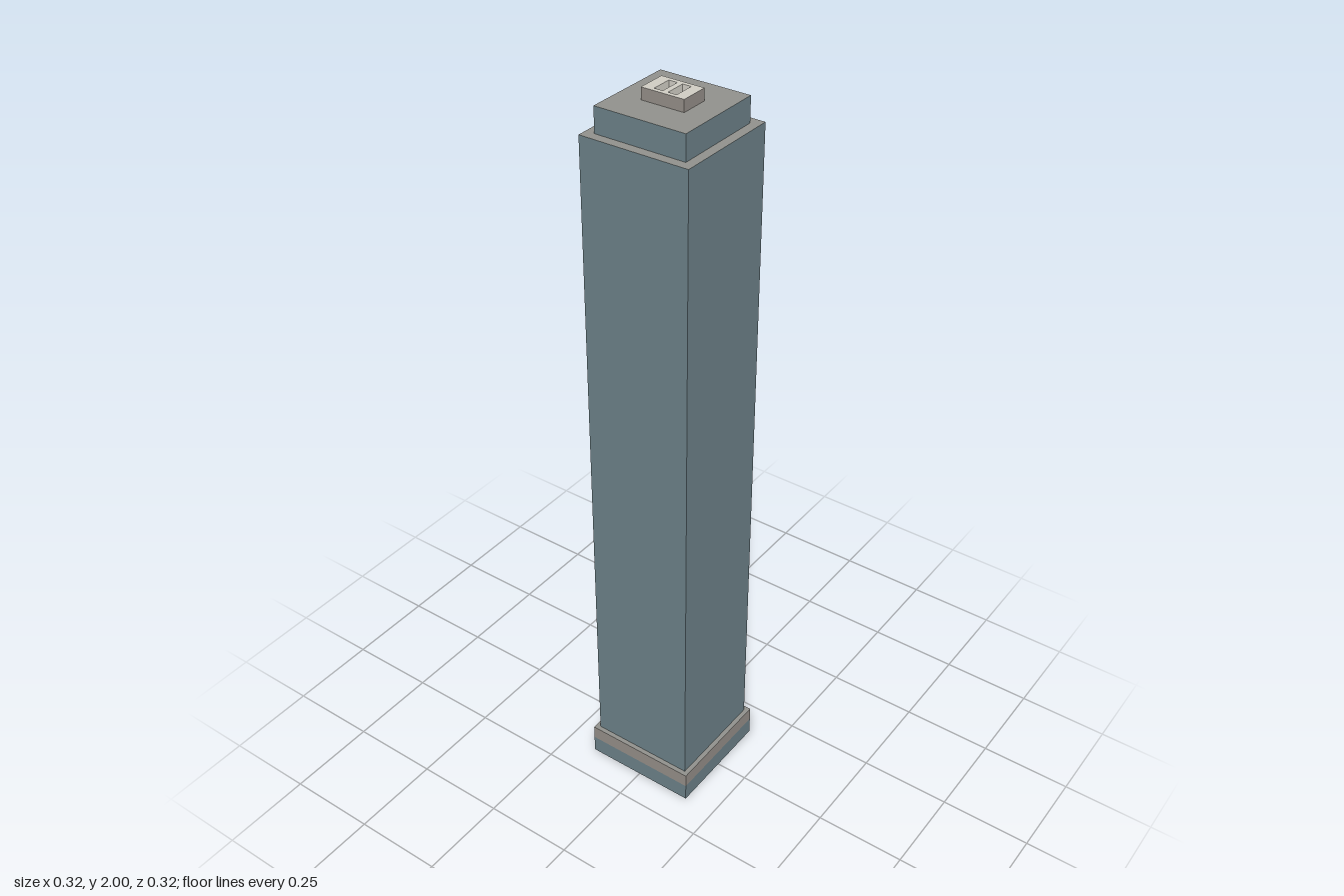
import * as THREE from 'three';

const mat = (name, color, side = THREE.DoubleSide) => {
  const m = new THREE.MeshStandardMaterial({ color, side });
  m.name = name;
  return m;
};

// Four open walls around a w x d rectangle, from y0 to y1
function walls(name, material, w, d, y0, y1, x = 0) {
  const g = new THREE.CylinderGeometry(Math.SQRT1_2, Math.SQRT1_2, 1, 4, 1, true)
    .rotateY(Math.PI / 4)
    .scale(w, y1 - y0, d)
    .translate(x, (y0 + y1) / 2, 0)
    .toNonIndexed();
  g.computeVertexNormals();
  const mesh = new THREE.Mesh(g, material);
  mesh.name = name;
  return mesh;
}

// Flat horizontal plate with rectangular holes given as [width, depth, x]
function plate(name, material, w, d, y, holes = []) {
  const trace = (path, pw, pd, x = 0) => path
    .moveTo(x - pw / 2, -pd / 2).lineTo(x + pw / 2, -pd / 2)
    .lineTo(x + pw / 2, pd / 2).lineTo(x - pw / 2, pd / 2).closePath();
  const shape = trace(new THREE.Shape(), w, d);
  for (const h of holes) shape.holes.push(trace(new THREE.Path(), ...h));
  const mesh = new THREE.Mesh(new THREE.ShapeGeometry(shape).rotateX(-Math.PI / 2).translate(0, y, 0), material);
  mesh.name = name;
  return mesh;
}

export function createModel() {
  const glass = mat('blue grey glass', 0x6a7e85);
  const stone = mat('warm grey stone', 0x918b85);
  const roof = mat('roof grey', 0x90908b);
  const pale = mat('pale grey', 0xcecbc2);

  const BASE = 0.32, TOWER = 0.294, CROWN = 0.245;
  const Y = { band: 0.05, base: 0.09, tower: 1.905, crown: 1.97, top: 2 };
  const group = new THREE.Group();
  group.name = 'tower';

  // Open-bottomed base with a stone band and a ledge
  group.add(
    walls('baseWalls', glass, BASE, BASE, 0, Y.band),
    walls('baseBand', stone, BASE, BASE, Y.band, Y.base),
    plate('baseLedge', roof, BASE, BASE, Y.base, [[TOWER, TOWER]]),
  );

  // Main shaft and stepped crown
  group.add(
    walls('shaft', glass, TOWER, TOWER, Y.base, Y.tower),
    plate('shaftLedge', roof, TOWER, TOWER, Y.tower, [[CROWN, CROWN]]),
    walls('crown', glass, CROWN, CROWN, Y.tower, Y.crown),
    plate('crownRoof', roof, CROWN, CROWN, Y.crown),
  );

  // Rooftop plant box with two open wells
  const wells = [-1, 1].map((s) => [0.023, 0.054, s * 0.0185]);
  group.add(
    walls('plantBoxWalls', stone, 0.115, 0.076, Y.crown, Y.top),
    plate('plantBoxTop', pale, 0.115, 0.076, Y.top, wells),
  );
  for (const [w, d, x] of wells) group.add(walls('plantBoxWell', pale, w, d, Y.crown, Y.top, x));

  return group;
}
